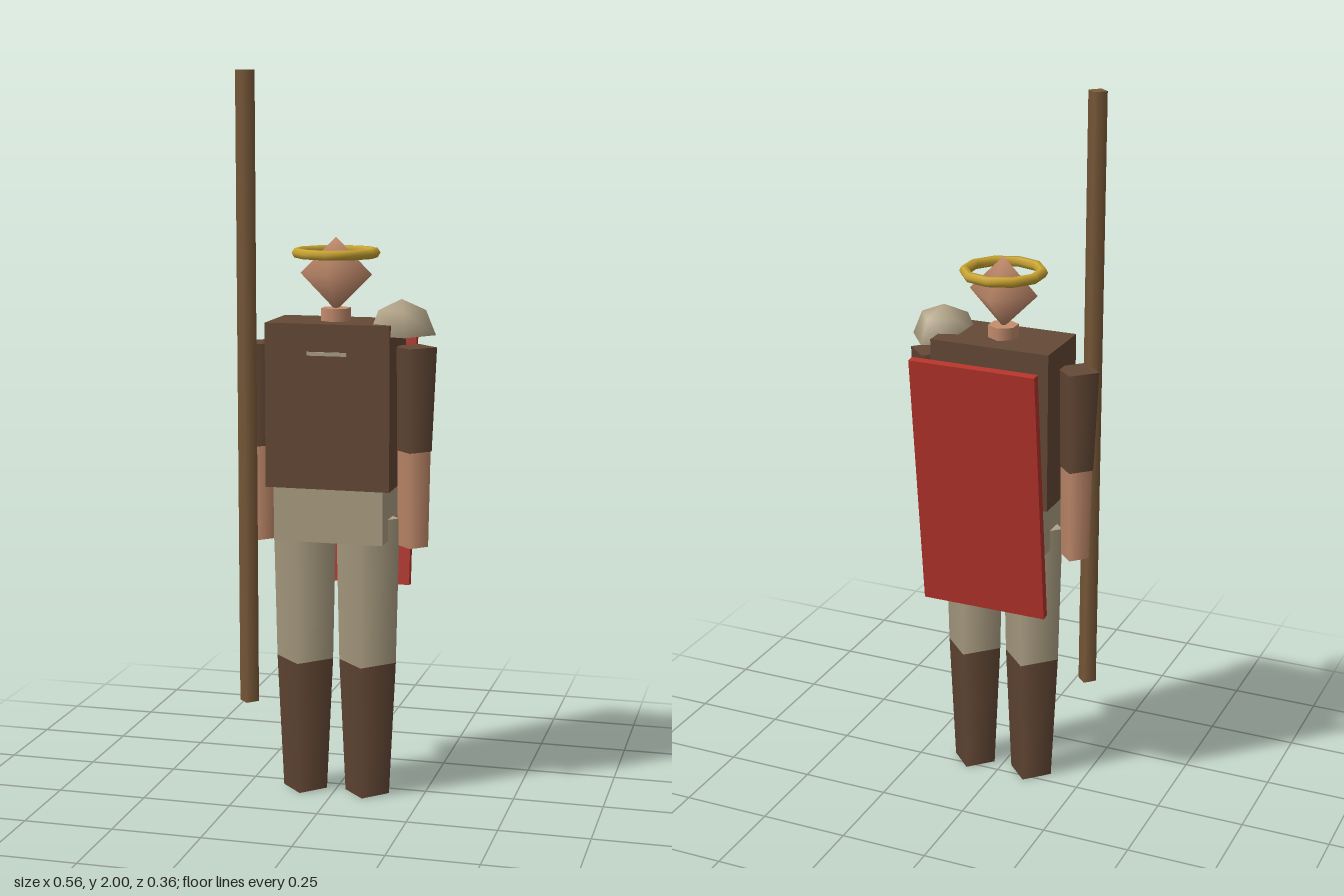
import * as THREE from 'three';

const mat = (name, color, side = THREE.FrontSide) => {
  const m = new THREE.MeshStandardMaterial({ color, side });
  m.name = name;
  return m;
};

export function createModel() {
  const leather = mat('brown leather', 0x654936);
  const cloth = mat('beige cloth', 0xb0a286, THREE.DoubleSide);
  const skin = mat('skin', 0xc68e6e);
  const gold = mat('gold', 0xcaa532);
  const red = mat('red', 0xb8352c);
  const wood = mat('wood', 0x7d5c3a);

  const model = new THREE.Group();
  model.name = 'guard';
  const add = (name, geometry, material, x, y, z) => {
    const mesh = new THREE.Mesh(geometry, material);
    mesh.name = name;
    mesh.position.set(x, y, z);
    model.add(mesh);
    return mesh;
  };
  // Tapered post standing between two heights, four-sided by default
  const post = (name, material, x, z, y0, y1, r0, r1, sides = 4) =>
    add(name, new THREE.CylinderGeometry(r1, r0, y1 - y0, sides), material, x, (y0 + y1) / 2, z);
  const bodyZ = 0.04;

  // Body
  add('torso', new THREE.BoxGeometry(0.346, 0.45, 0.2), leather, 0, 1.105, bodyZ);
  add('pelvis', new THREE.BoxGeometry(0.306, 0.15, 0.18), cloth, 0, 0.805, bodyZ);
  add('chestClasp', new THREE.BoxGeometry(0.11, 0.01, 0.01), cloth, 0, 1.25, 0.14);

  // Limbs, mirrored
  for (const [side, s] of [['left', 1], ['right', -1]]) {
    post(side + 'Boot', leather, s * 0.09, bodyZ, 0, 0.38, 0.063, 0.081);
    post(side + 'Leg', cloth, s * 0.09, bodyZ, 0.38, 0.79, 0.081, 0.09);
    post(side + 'Sleeve', leather, s * 0.218, bodyZ, 0.98, 1.265, 0.05, 0.0625);
    post(side + 'Forearm', skin, s * 0.218, bodyZ, 0.715, 0.98, 0.042, 0.047);
  }

  // Head, neck and halo
  post('neck', skin, 0, bodyZ, 1.32, 1.365, 0.042, 0.042, 6);
  add('head', new THREE.SphereGeometry(0.1, 4, 2), skin, 0, 1.457, bodyZ);
  const halo = add('halo', new THREE.TorusGeometry(0.106, 0.0145, 6, 10), gold, 0, 1.514, bodyZ);
  halo.rotation.x = Math.PI / 2;
  halo.rotation.z = Math.PI / 2;

  // Five-sided dome on the left shoulder
  const dome = new THREE.SphereGeometry(0.095, 5, 2, 0, Math.PI * 2, 0, Math.PI / 2);
  const pauldron = add('shoulderGuard', dome, cloth, 0.186, 1.3, 0.057);
  pauldron.rotation.y = Math.PI;

  // Shield slung on the back
  const shield = add('shield', new THREE.BoxGeometry(0.364, 0.737, 0.024), red, 0, 0.94, -0.126);
  shield.rotation.x = -0.11;

  // Staff beside the right hand
  post('staff', wood, -0.22, 0.15, 0.275, 2, 0.027, 0.027);

  return model;
}
